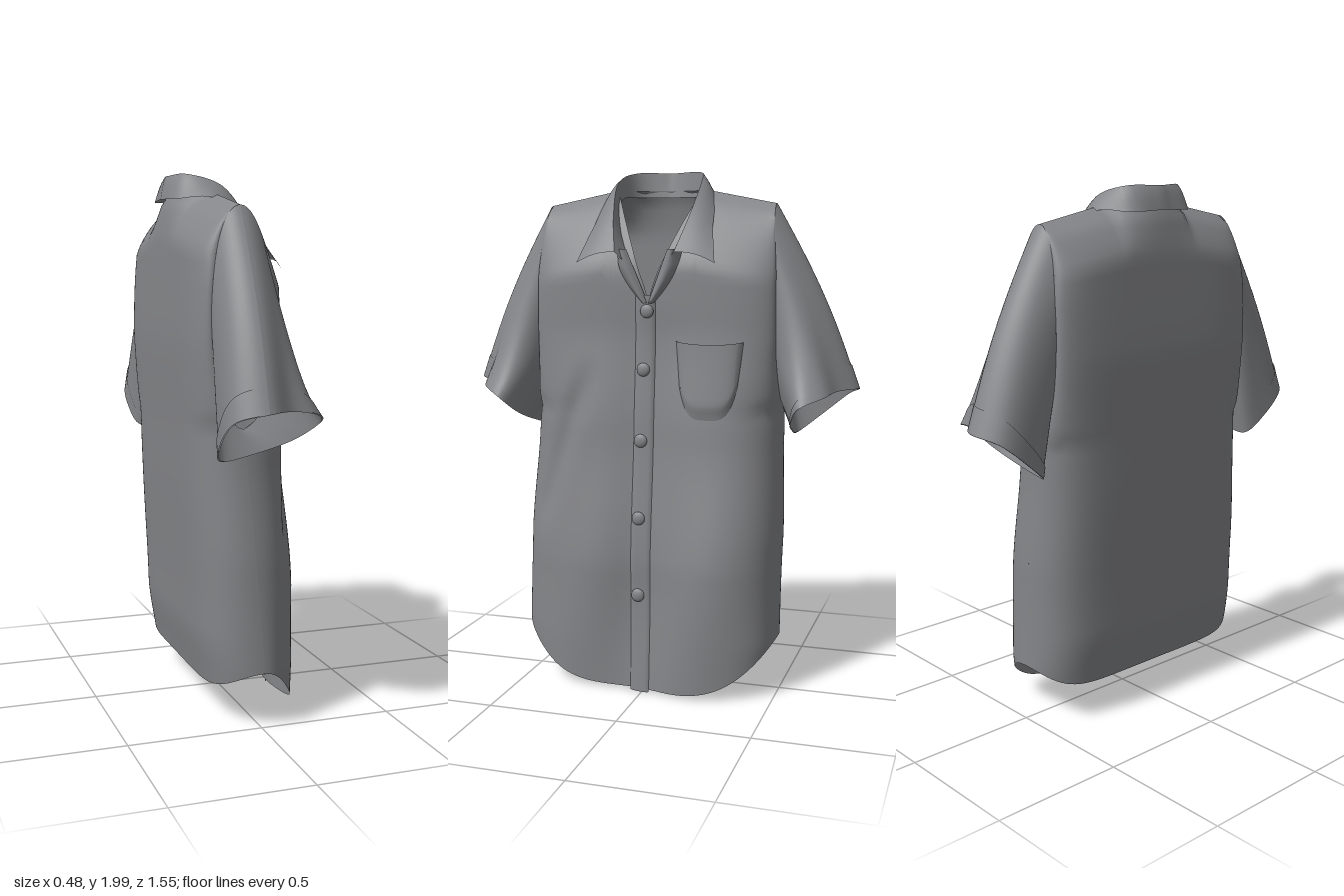
import * as THREE from 'three';

const { lerp, clamp, smoothstep } = THREE.MathUtils;

// eased interpolation through [y, value] pairs
function ramp(pts, y) {
  for (let i = 1; i < pts.length; i++) {
    const [y0, a] = pts[i - 1], [y1, b] = pts[i];
    if (y <= y1) return lerp(a, b, smoothstep(y, y0, y1) * 0.5 + clamp((y - y0) / (y1 - y0), 0, 1) * 0.5);
  }
  return pts[pts.length - 1][1];
}

// smooth sheet from a rule f(u, v) -> [x, y, z]
function sheet(f, nu, nv) {
  const pos = [], idx = [];
  for (let j = 0; j <= nv; j++)
    for (let i = 0; i <= nu; i++) pos.push(...f(i / nu, j / nv));
  for (let j = 0; j < nv; j++)
    for (let i = 0; i < nu; i++) {
      const a = j * (nu + 1) + i, b = a + 1, c = a + nu + 1, d = c + 1;
      idx.push(a, b, d, a, d, c);
    }
  const g = new THREE.BufferGeometry();
  g.setAttribute('position', new THREE.Float32BufferAttribute(pos, 3));
  g.setIndex(idx);
  g.computeVertexNormals();
  return g;
}

const curve = (pts, closed = false) => new THREE.CatmullRomCurve3(pts.map(p => new THREE.Vector3(...p)), closed);

// body measurements: the garment faces +x, its width runs along z
const ARM = { y: 1.485, ry: 0.385, x: -0.07, rx: 0.112 };
const NECK = 0.17;
const HALF = [[0, 0.51], [0.22, 0.535], [0.6, 0.528], [1.0, 0.5], [1.3, 0.475], [1.6, 0.472], [1.87, 0.45]];
const CHEST = [[0, 0.212], [0.5, 0.22], [1.0, 0.165], [1.4, 0.118], [1.9, 0.115]];
const DIP = [[0, 0.02], [0.4, 0.04], [1.0, 0.035], [1.5, 0.008]];
const BACK = [[0.1, -0.165], [0.35, -0.2], [1.0, -0.225], [1.4, -0.24], [1.9, -0.225]];
const halfWidth = (y, side) => ramp(HALF, y) - (side < 0 ? 0.04 * (1 - smoothstep(y, 0.2, 1.4)) : 0);
const shoulderY = z => lerp(1.925, 1.87, clamp((Math.abs(z) - NECK) / 0.28, 0, 1));

// x of the side seam, which opens into the armhole
function edgeX(y, dir) {
  const k = (y - ARM.y) / ARM.ry;
  if (k < -1) return lerp(0, ARM.x, clamp((y - 0.2) / 0.9, 0, 1));
  return ARM.x + dir * ARM.rx * Math.sqrt(Math.max(0, 1 - k * k));
}

function frontX(y, z) {
  const s = clamp(z / halfWidth(y, z), -1, 1);
  const round = Math.sqrt(1 - Math.pow(Math.abs(s), 4));
  const low = 1 - smoothstep(y, 0.2, 1.3);
  const full = ramp(CHEST, y) - 0.045 * s * low;
  const drop = Math.pow(clamp((shoulderY(z) - y) / 0.29, 0, 1), 0.67);
  const edge = edgeX(y, 1);
  // soft folds, with the button line set back between them
  const fold = -0.008 * Math.sin(13 * z + 4 * y) * low - ramp(DIP, y) * Math.exp(-((z / 0.13) ** 2));
  // diagonal crease on one side
  const c = z - (0.24 + (1.25 - y) * 0.33);
  const crease = -0.02 * Math.exp(-c * c * 500) * smoothstep(y, 0.55, 0.75) * (1 - smoothstep(y, 1.1, 1.3));
  return edge + (lerp(ARM.x, full, drop) - edge + fold + crease) * round;
}

function backX(y, z) {
  const s = clamp(z / halfWidth(y, z), -1, 1);
  const round = Math.sqrt(1 - Math.pow(Math.abs(s), 6));
  const n = Math.sqrt(Math.max(0, 1 - (z / NECK) ** 2));
  const drop = Math.sqrt(clamp((shoulderY(z) - y) / 0.16, 0, 1));
  const edge = edgeX(y, -1);
  return edge + (lerp(ARM.x - 0.12 * n, ramp(BACK, y), drop) - edge) * round;
}

const neckEdge = a => 1.51 + (1.925 - 1.51) * Math.pow(a / NECK, 0.85);

export function createModel() {
  const model = new THREE.Group();
  const cloth = new THREE.MeshStandardMaterial({ color: 0x858689, side: THREE.DoubleSide });
  cloth.name = 'grey cloth';
  const add = (name, geo, parent = model) => {
    const m = new THREE.Mesh(geo, cloth);
    m.name = name;
    parent.add(m);
    return m;
  };

  // body panels, from curved hem to shoulder seam
  const panel = (xAt, hem, top) => (u, v) => {
    const s = Math.sin((u - 0.5) * Math.PI);
    const y = lerp(hem(Math.abs(s)), top(s * 0.45), v);
    const z = s * halfWidth(y, s);
    return [xAt(y, z), y, z];
  };
  const frontTop = z => Math.abs(z) < NECK ? neckEdge(Math.abs(z)) : shoulderY(z);
  add('frontPanel', sheet(panel(frontX, a => 0.015 + 0.205 * a ** 4, frontTop), 80, 60));
  add('backPanel', sheet(panel(backX, a => 0.15 + 0.07 * a ** 8, shoulderY), 60, 50));

  // sleeves: lofted from the armhole to a tilted, folded cuff outline (top, front, underside, back)
  const cuffLine = curve([[-0.08, 1.18, 0.77], [0.025, 1.18, 0.705], [0.12, 1.165, 0.67], [0.18, 1.13, 0.59],
    [0.11, 1.07, 0.55], [-0.03, 1.02, 0.53], [-0.165, 0.997, 0.53], [-0.195, 1.06, 0.61], [-0.18, 1.15, 0.72]], true);
  for (const side of [1, -1]) {
    const sleeve = new THREE.Group();
    sleeve.name = side > 0 ? 'leftSideSleeve' : 'rightSideSleeve';
    model.add(sleeve);
    const ring = (u, t, swell = 1) => {
      const a = u * Math.PI * 2, c = Math.cos(a), s = Math.sin(a);
      const y0 = ARM.y + ARM.ry * c;
      const p0 = [ARM.x + ARM.rx * s, y0, halfWidth(y0, side)];
      const q = cuffLine.getPoint(u % 1);
      const p1 = [q.x, q.y, q.z].map((w, i) => lerp([-0.01, 1.09, 0.64][i], w, swell));
      // the cuff folds fade out towards the armhole
      const p = p0.map((w, i) => lerp(w, p1[i], t));
      p[2] += 0.025 * Math.sin(Math.PI * t) * Math.max(0, c);
      p[2] *= side;
      return p;
    };
    add('sleeve', sheet((u, v) => ring(u, v), 60, 20), sleeve);
    // turned-up hem band
    add('cuff', sheet((u, v) => ring(u, lerp(0.87, 1, v), 1.025), 60, 4), sleeve);
  }

  // collar: stand, fold line and outer leaf, mirrored about the back centre
  const stand = curve([[-0.19, 1.9, 0], [-0.165, 1.9, 0.11], [-0.06, 1.89, 0.155], [0.05, 1.76, 0.125], [0.11, 1.62, 0.06]]);
  const fold = curve([[-0.205, 1.995, 0], [-0.16, 1.995, 0.13], [-0.04, 1.955, 0.165], [0.07, 1.83, 0.15], [0.165, 1.69, 0.115]]);
  const leaf = curve([[-0.225, 1.91, 0], [-0.205, 1.905, 0.14], [-0.08, 1.905, 0.21], [0.055, 1.785, 0.235], [0.16, 1.65, 0.268]]);
  const mirrored = c => u => {
    const p = c.getPoint(Math.abs(2 * u - 1));
    return [p.x, p.y, u < 0.5 ? -p.z : p.z];
  };
  const [A, B, C] = [stand, fold, leaf].map(mirrored);
  const between = (f, g, puff) => (u, v) => {
    const p = f(u), q = g(u), r = p.map((a, i) => lerp(a, q[i], v));
    r[1] += puff * Math.sin(Math.PI * v);
    return r;
  };
  const collar = new THREE.Group();
  collar.name = 'collar';
  model.add(collar);
  add('collarStand', sheet(between(A, B, 0), 48, 4), collar);
  add('collarLeaf', sheet(between(B, C, 0.012), 48, 6), collar);

  // rolled lapels running from the collar down to the top button
  for (const side of [1, -1])
    add('lapel', sheet((u, v) => {
      const y = lerp(1.5, 1.7, u);
      const z = lerp(0, 0.08, u) + v * 0.06 * Math.sin(Math.PI * (0.12 + 0.6 * u));
      const x = lerp(frontX(1.5, 0), 0.125, u);
      return [lerp(x, frontX(y, z), v * v) + 0.004 + 0.02 * Math.sin(Math.PI * v), y, side * z];
    }, 14, 6));

  // button placket with raised rounded edges
  add('placket', sheet((u, v) => {
    const y = lerp(0.005, 1.53, v), z = lerp(-0.028, 0.05, u);
    return [frontX(y, z) + 0.01 * Math.pow(Math.sin(Math.PI * u), 0.4), y, z];
  }, 10, 50));

  // buttons
  const buttonGeo = new THREE.SphereGeometry(0.026, 20, 12).scale(0.45, 1, 1);
  for (const [y, z] of [[0.385, 0.02], [0.685, 0.02], [0.98, 0.02], [1.25, 0.015], [1.47, 0.002]])
    add('button', buttonGeo).position.set(frontX(y, z) + 0.012, y, z);

  // chest pocket with a rounded bottom and a slightly gaping top
  add('pocket', sheet((u, v) => {
    const s = 2 * u - 1;
    const bottom = 1.07 + 0.12 * Math.abs(s) ** 4;
    const y = lerp(bottom, 1.36 - 0.01 * (1 - s * s), v);
    const z = -0.24 - s * lerp(0.11, 0.128, v);
    const rise = Math.pow(Math.max(0, 1 - s ** 6), 0.5) * Math.min(1, v * 6);
    return [frontX(y, z) + 0.003 + rise * lerp(0.014, 0.022, v), y, z];
  }, 24, 20));

  return model;
}
